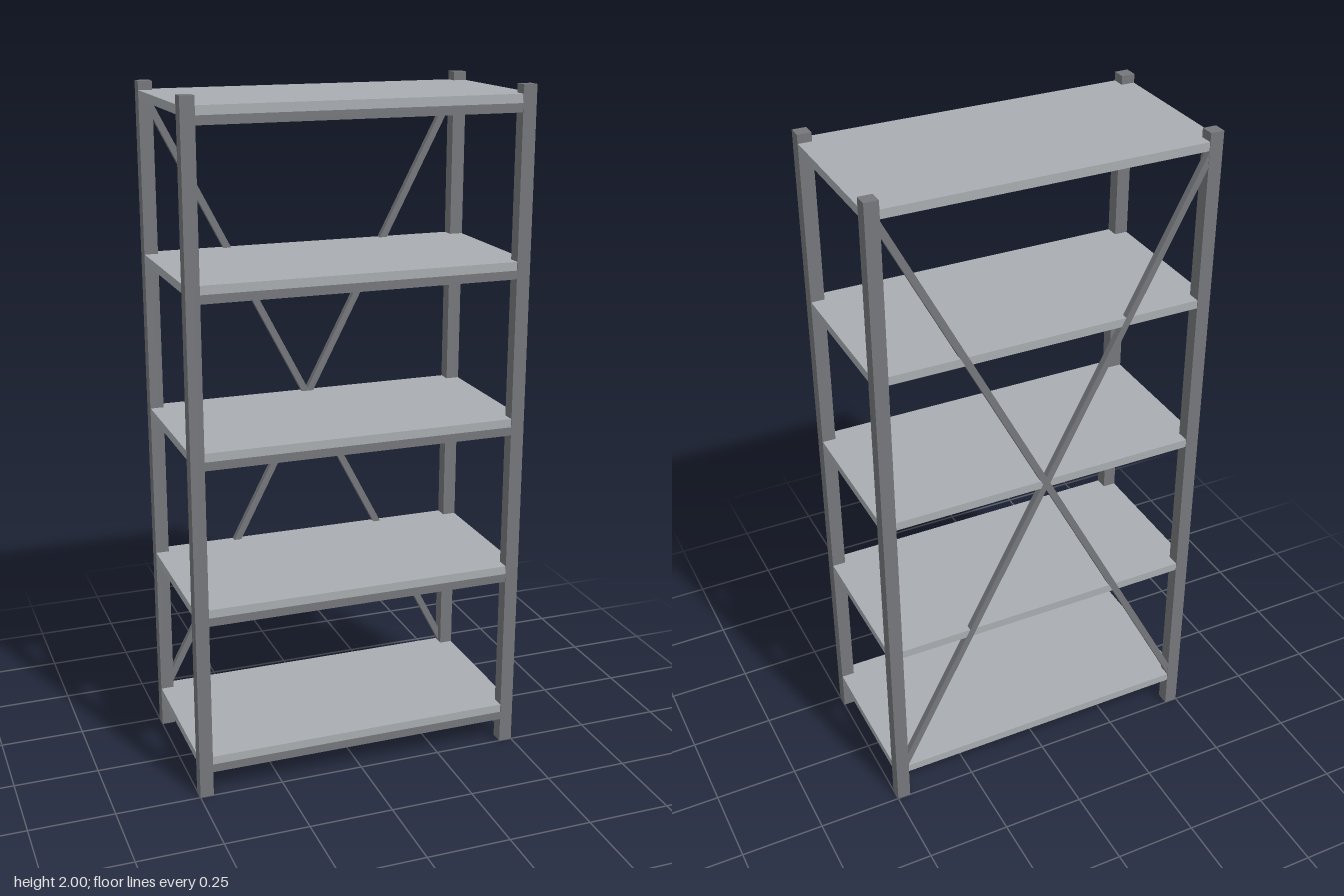
import * as THREE from 'three';

export function createModel() {
  const model = new THREE.Group();
  model.name = 'shelvingUnit';

  const frameMat = new THREE.MeshStandardMaterial({ color: 0x75777b });
  frameMat.name = 'dark grey frame';
  const shelfMat = new THREE.MeshStandardMaterial({ color: 0xa9adb1 });
  shelfMat.name = 'light grey shelf';

  function box(name, size, pos, mat) {
    const mesh = new THREE.Mesh(new THREE.BoxGeometry(...size), mat);
    mesh.name = name;
    mesh.position.set(...pos);
    model.add(mesh);
    return mesh;
  }

  // Four square corner posts
  for (const x of [-1, 1]) {
    for (const z of [-1, 1]) {
      const name = (z > 0 ? 'front' : 'back') + (x > 0 ? 'Left' : 'Right') + 'Post';
      box(name, [0.04, 2, 0.04], [x * 0.48, 1, z * 0.23], frameMat);
    }
  }

  // Five shelves, each with a rail under its front edge
  const shelfCount = 5, thickness = 0.025, firstY = 0.1125, spacing = 0.4625;
  for (let i = 0; i < shelfCount; i++) {
    const y = firstY + i * spacing;
    box('shelf' + (i + 1), [0.998, thickness, 0.497], [0, y, 0], shelfMat);
    box('frontRail' + (i + 1), [0.92, thickness, 0.02], [0, y - thickness, 0.239], frameMat);
  }

  // Crossed braces on the back, running between the post centres
  const rise = spacing * (shelfCount - 1), run = 0.96;
  for (const side of [-1, 1]) {
    const brace = box(side > 0 ? 'backBraceA' : 'backBraceB',
      [0.02, Math.hypot(rise, run), 0.02], [0, firstY + rise / 2, -0.239], frameMat);
    brace.rotation.z = side * Math.atan2(run, rise);
  }

  return model;
}
